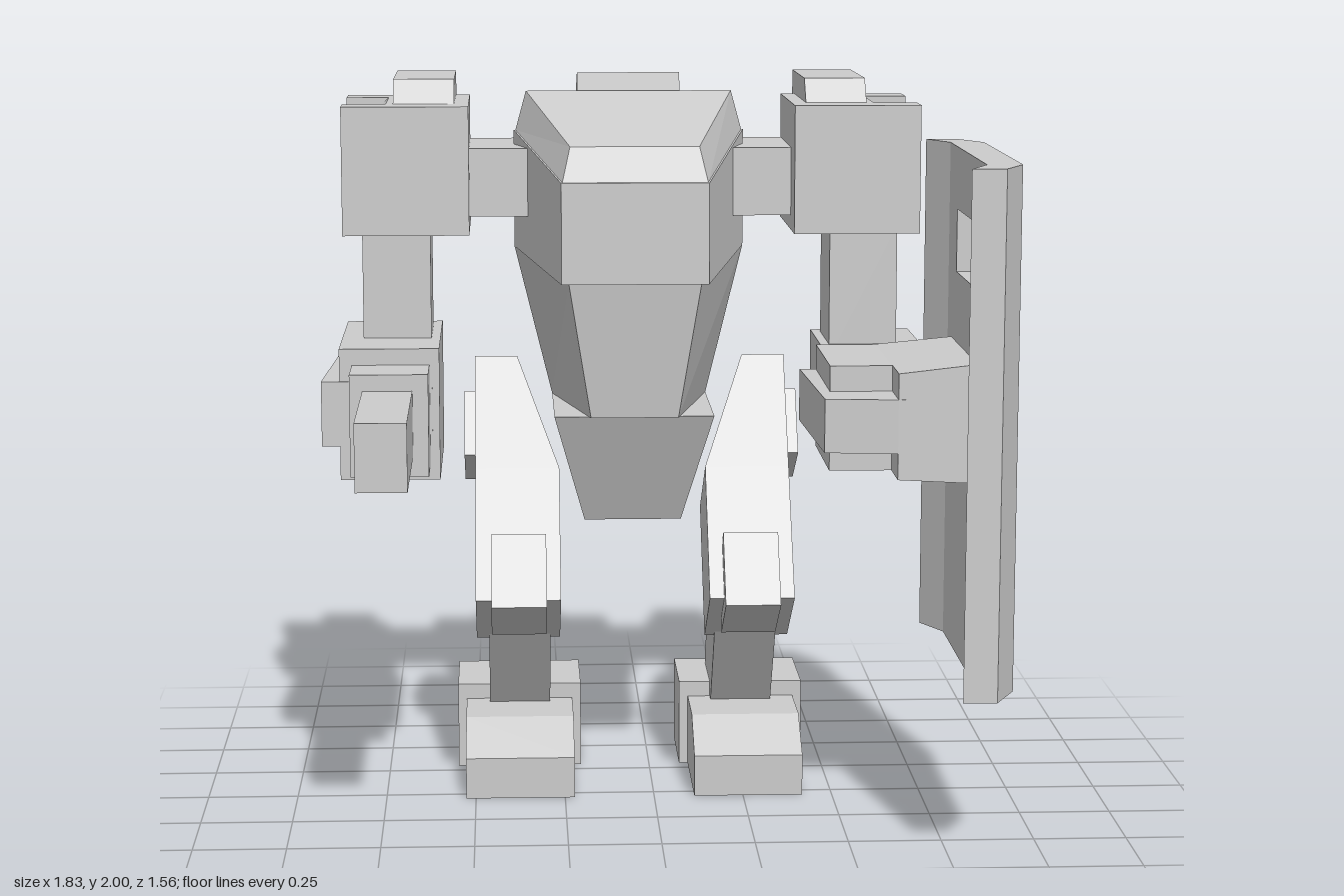
import * as THREE from 'three';

const CX = -0.055; // centre line of torso and legs
const material = new THREE.MeshStandardMaterial({ color: 0xcccccc, flatShading: true });

// adds a mesh; side -1 mirrors the geometry across x = 0
function add(parent, name, geometry, side = 1) {
  const g = geometry.index ? geometry.toNonIndexed() : geometry;
  if (side < 0) {
    const p = g.attributes.position;
    for (let i = 0; i < p.count; i += 3) {
      const a = new THREE.Vector3().fromBufferAttribute(p, i + 1);
      const b = new THREE.Vector3().fromBufferAttribute(p, i + 2);
      p.setXYZ(i + 1, b.x, b.y, b.z);
      p.setXYZ(i + 2, a.x, a.y, a.z);
    }
    for (let i = 0; i < p.count; i++) p.setX(i, -p.getX(i));
  }
  g.computeVertexNormals();
  const mesh = new THREE.Mesh(g, material);
  mesh.name = name;
  parent.add(mesh);
}

function group(parent, name, x = 0) {
  const g = new THREE.Group();
  g.name = name;
  g.position.x = x;
  parent.add(g);
  return g;
}

const box = (x0, x1, y0, y1, z0, z1) =>
  new THREE.BoxGeometry(x1 - x0, y1 - y0, z1 - z0)
    .translate((x0 + x1) / 2, (y0 + y1) / 2, (z0 + z1) / 2);

function extrude(points, depth, hole) {
  const shape = new THREE.Shape(points.map(([a, b]) => new THREE.Vector2(a, b)));
  if (hole) shape.holes.push(new THREE.Path(hole.map(([a, b]) => new THREE.Vector2(a, b))));
  return new THREE.ExtrudeGeometry(shape, { depth, bevelEnabled: false });
}
// side profile [z, y] spanning x0..x1
const sideSlab = (pts, x0, x1, hole) =>
  extrude(pts, x1 - x0, hole).rotateY(-Math.PI / 2).translate(x1, 0, 0);
// plan profile [x, z] spanning y0..y1
const planSlab = (pts, y0, y1) =>
  extrude(pts.map(([x, z]) => [x, -z]), y1 - y0).rotateX(-Math.PI / 2).translate(0, y0, 0);
// front profile [x, y] spanning z0..z1
const frontSlab = (pts, z0, z1) => extrude(pts, z1 - z0).translate(0, 0, z0);

// symmetric four-corner section: half width, y, z at the front, then at the back
const ring = (wf, yf, zf, wb, yb, zb) =>
  [[-wf, yf, zf], [wf, yf, zf], [wb, yb, zb], [-wb, yb, zb]];

// closed solid through four-corner sections, from bottom to top
function loft(rings) {
  const v = [];
  const quad = (a, b, c, d) => v.push(...a, ...b, ...c, ...a, ...c, ...d);
  for (let r = 0; r < rings.length - 1; r++)
    for (let i = 0; i < 4; i++) {
      const j = (i + 1) % 4;
      quad(rings[r][i], rings[r][j], rings[r + 1][j], rings[r + 1][i]);
    }
  const [a, b, c, d] = rings[0];
  quad(d, c, b, a);
  quad(...rings[rings.length - 1]);
  const g = new THREE.BufferGeometry();
  g.setAttribute('position', new THREE.Float32BufferAttribute(v, 3));
  return g;
}

function buildTorso(root) {
  const t = group(root, 'torso', CX);
  add(t, 'hood', loft([
    ring(0.197, 1.735, 0.135, 0.32, 1.84, -0.36),
    ring(0.175, 1.83, 0.1, 0.29, 1.95, -0.36)]));
  add(t, 'cockpit', loft([
    ring(0.2, 1.46, 0.14, 0.325, 1.51, -0.36),
    ring(0.2, 1.735, 0.14, 0.325, 1.84, -0.36)]));
  add(t, 'chin', loft([
    ring(0.12, 1.085, 0.08, 0.22, 1.085, -0.36),
    ring(0.18, 1.46, 0.13, 0.325, 1.51, -0.36)]));
  add(t, 'rearHull', loft([
    ring(0.22, 1.085, -0.36, 0.2, 1.085, -0.69),
    ring(0.3, 1.51, -0.36, 0.27, 1.51, -0.69),
    ring(0.29, 1.95, -0.36, 0.29, 1.83, -0.69)]));
  add(t, 'spine', sideSlab([[-0.37, 1.94], [-0.38, 2], [-0.73, 1.86], [-0.745, 1.085],
    [-0.6, 1.085], [-0.6, 1.84]], -0.145, 0.145));
  add(t, 'pelvis', loft([
    ring(0.135, 0.77, -0.08, 0.135, 0.77, -0.3),
    ring(0.22, 1.085, 0.06, 0.22, 1.085, -0.58)]));
}

function buildLeg(root, side) {
  const leg = group(root, side > 0 ? 'leftLeg' : 'rightLeg', CX);
  // slanted thigh whose inner face leans outward near the hip
  const section = (t, inner) => {
    const dz = -0.568 * t, dy = 0.823 * t;
    return [[inner, 0.585 + dy, 0.125 + dz], [0.44, 0.585 + dy, 0.125 + dz],
      [0.44, 0.425 + dy, -0.116 + dz], [inner, 0.425 + dy, -0.116 + dz]];
  };
  add(leg, 'thigh', loft([section(0, 0.205), section(0.4, 0.205), section(0.75, 0.32)]), side);
  add(leg, 'thighPlate', sideSlab([[-0.14, 0.945], [-0.25, 1.11], [-0.415, 1.005], [-0.31, 0.845]],
    0.43, 0.47), side);
  add(leg, 'kneePad', sideSlab([[0.0, 0.46], [0.19, 0.58], [0.07, 0.76], [0.035, 0.735]],
    0.245, 0.397), side);
  add(leg, 'shin', sideSlab([[-0.26, 0.65], [-0.534, 0.26], [-0.45, 0.2], [-0.324, 0.112], [-0.048, 0.505]],
    0.232, 0.405), side);
  add(leg, 'ankleBlock', box(0.143, 0.497, 0, 0.243, -0.58, -0.3), side);
  add(leg, 'frontToe', sideSlab([[0.045, 0], [0.045, 0.115], [-0.09, 0.2], [-0.35, 0.2], [-0.35, 0]],
    0.168, 0.472), side);
  add(leg, 'rearToe', sideSlab([[-0.55, 0], [-0.55, 0.215], [-0.635, 0.215], [-0.78, 0.11], [-0.78, 0]],
    0.255, 0.39), side);
}

function buildShoulder(root, side) {
  const s = group(root, side > 0 ? 'leftShoulder' : 'rightShoulder', CX);
  add(s, 'shoulderJoint', box(0.25, 0.47, 1.61, 1.8, -0.575, -0.21), side);
  // pauldron in three slices, the middle one notched along its outer top edge
  add(s, 'shoulderRear', box(0.45, 0.8, 1.57, 1.925, -0.57, -0.46), side);
  add(s, 'shoulderFront', box(0.45, 0.8, 1.57, 1.925, -0.2, -0.09), side);
  add(s, 'shoulderMiddle', frontSlab([[0.45, 1.57], [0.8, 1.57], [0.8, 1.8], [0.68, 1.925], [0.45, 1.925]],
    -0.46, -0.2), side);
  add(s, 'shoulderCap', sideSlab([[-0.2, 1.92], [-0.26, 1.99], [-0.645, 1.99], [-0.645, 1.77],
    [-0.565, 1.71], [-0.565, 1.92]], 0.49, 0.66), side);
  add(s, 'upperArm', box(0.56, 0.75, 1.2, 1.58, -0.46, -0.2), side);
}

function buildGunArm(root) {
  const a = group(root, 'gunArm');
  add(a, 'forearm', box(-0.865, -0.59, 0.905, 1.27, -0.55, 0.01));
  add(a, 'forearmBand', planSlab([[-0.915, 0.012], [-0.885, -0.59], [-0.7, -0.62], [-0.61, -0.62], [-0.61, 0.012]],
    1.0, 1.18));
  add(a, 'gunCollar', box(-0.83, -0.617, 0.945, 1.225, 0, 0.185));
  add(a, 'gunBarrel', box(-0.795, -0.66, 1.0, 1.18, 0.18, 0.7));
}

function buildShieldArm(root) {
  const a = group(root, 'shieldArm');
  add(a, 'elbow', box(0.48, 0.765, 1.045, 1.245, -0.5, -0.03));
  add(a, 'elbowPlate', box(0.76, 0.825, 1.05, 1.205, -0.475, 0.02));
  add(a, 'grip', box(0.445, 0.62, 1.0, 1.28, 0.05, 0.44));
  add(a, 'gripBand', planSlab([[0.4, 0.045], [0.42, 0.565], [0.61, 0.585], [0.65, 0.58], [0.65, 0.045]],
    1.07, 1.212));
  add(a, 'shieldMount', loft([
    [[0.61, 1.0, 0.583], [0.82, 0.985, 0.562], [0.82, 0.985, 0.045], [0.61, 1.0, 0.045]],
    [[0.61, 1.28, 0.583], [0.82, 1.3, 0.562], [0.82, 1.3, 0.045], [0.61, 1.28, 0.045]]]));

  // shield: flat panel with a slot, and a bent flange at each end
  const s = group(root, 'shield');
  const y0 = 0.45, y1 = 1.828;
  add(s, 'shieldPanel', sideSlab([[-0.025, y0], [0.66, y0], [0.66, y1], [-0.025, y1]], 0.818, 0.91,
    [[0.13, 1.49], [0.13, 1.66], [0.52, 1.66], [0.52, 1.49]]));
  add(s, 'frontFlange', planSlab([[0.818, 0.66], [0.91, 0.66], [0.852, 0.78], [0.763, 0.78]], y0, y1));
  add(s, 'rearFlange', planSlab([[0.818, -0.025], [0.91, -0.025], [0.85, -0.137], [0.765, -0.137]], y0, y1));
}

export function createModel() {
  const root = new THREE.Group();
  root.name = 'walkerRobot';
  buildTorso(root);
  for (const side of [1, -1]) {
    buildLeg(root, side);
    buildShoulder(root, side);
  }
  buildGunArm(root);
  buildShieldArm(root);
  return root;
}
